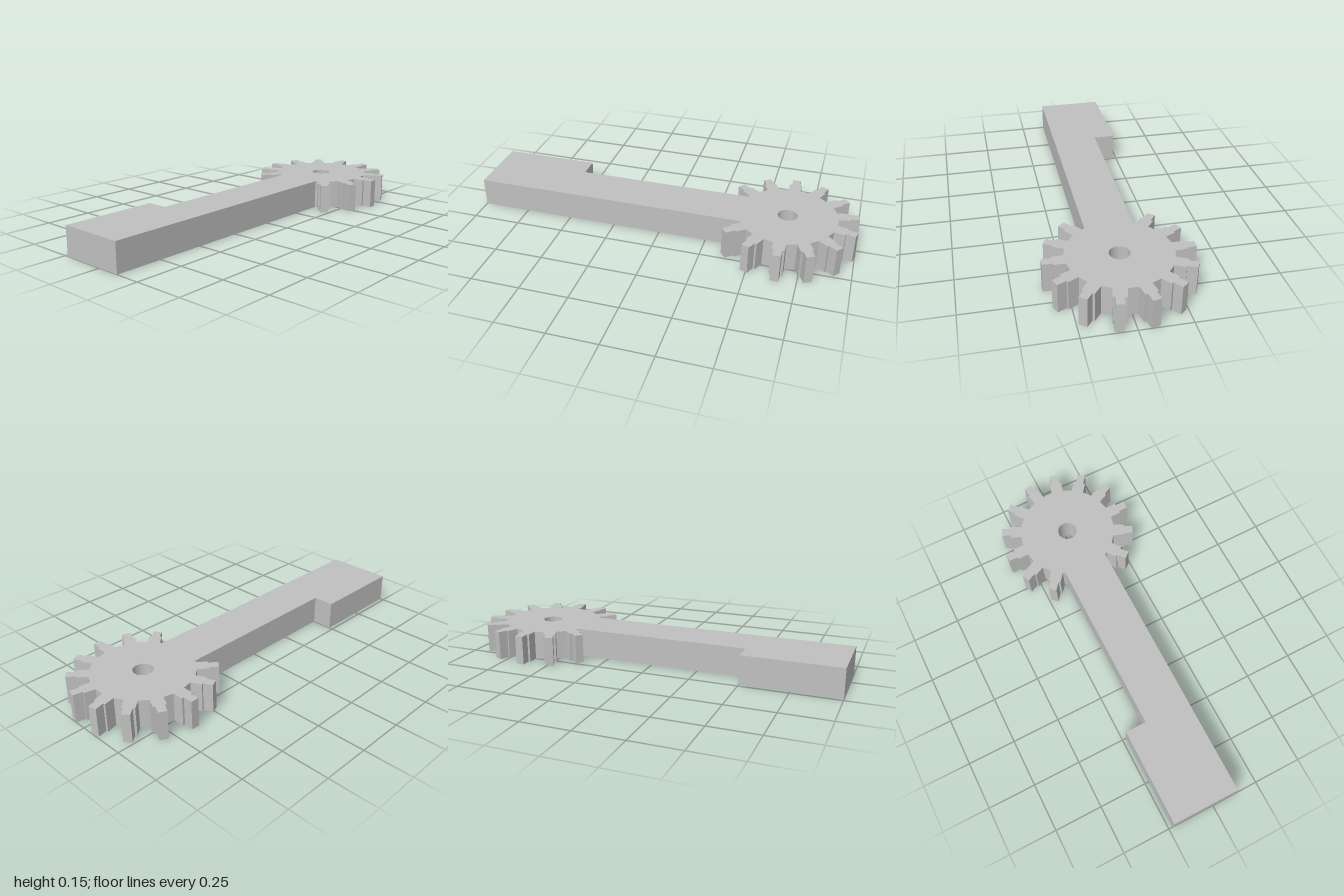
import * as THREE from 'three';

const HEIGHT = 0.15;
const GEAR_X = 0.645;
const TEETH = 14;

// Half of one stepped tooth: [distance from gear centre, half width]
const TOOTH = [[0.253, 0.032], [0.31, 0.032], [0.31, 0.021], [0.359, 0.021]];

function toothPoints(angle) {
  const c = Math.cos(angle), s = Math.sin(angle);
  const place = (r, w) => new THREE.Vector2(GEAR_X + r * c - w * s, r * s + w * c);
  return [
    ...TOOTH.map(([r, w]) => place(r, -w)),
    ...[...TOOTH].reverse().map(([r, w]) => place(r, w)),
  ];
}

export function createModel() {
  const group = new THREE.Group();
  group.name = 'gearArm';
  const grey = new THREE.MeshStandardMaterial({ color: 0xc0c0c0 });
  grey.name = 'grey';

  // Arm edge along the front, running into the gear root
  const points = [new THREE.Vector2(-1, -0.12), new THREE.Vector2(0.422, -0.12)];

  // Gear rim; the two teeth swallowed by the arm are skipped
  const step = (Math.PI * 2) / TEETH;
  for (let i = 0; i < TEETH - 2; i++) points.push(...toothPoints((i - 5.5) * step));

  // Back edge of the arm and the wider end block
  for (const [x, y] of [[0.422, 0.12], [-0.5, 0.12], [-0.5, 0.23], [-1, 0.23]]) {
    points.push(new THREE.Vector2(x, y));
  }

  // Axle hole
  const outline = new THREE.Shape(points);
  outline.holes.push(new THREE.Path().absarc(GEAR_X, 0, 0.05, 0, Math.PI * 2, true));

  // One solid plate, laid flat on the ground
  const geometry = new THREE.ExtrudeGeometry(outline, {
    depth: HEIGHT, bevelEnabled: false, curveSegments: 16,
  });
  geometry.rotateX(-Math.PI / 2);
  const plate = new THREE.Mesh(geometry, grey);
  plate.name = 'armWithGear';
  group.add(plate);
  return group;
}
